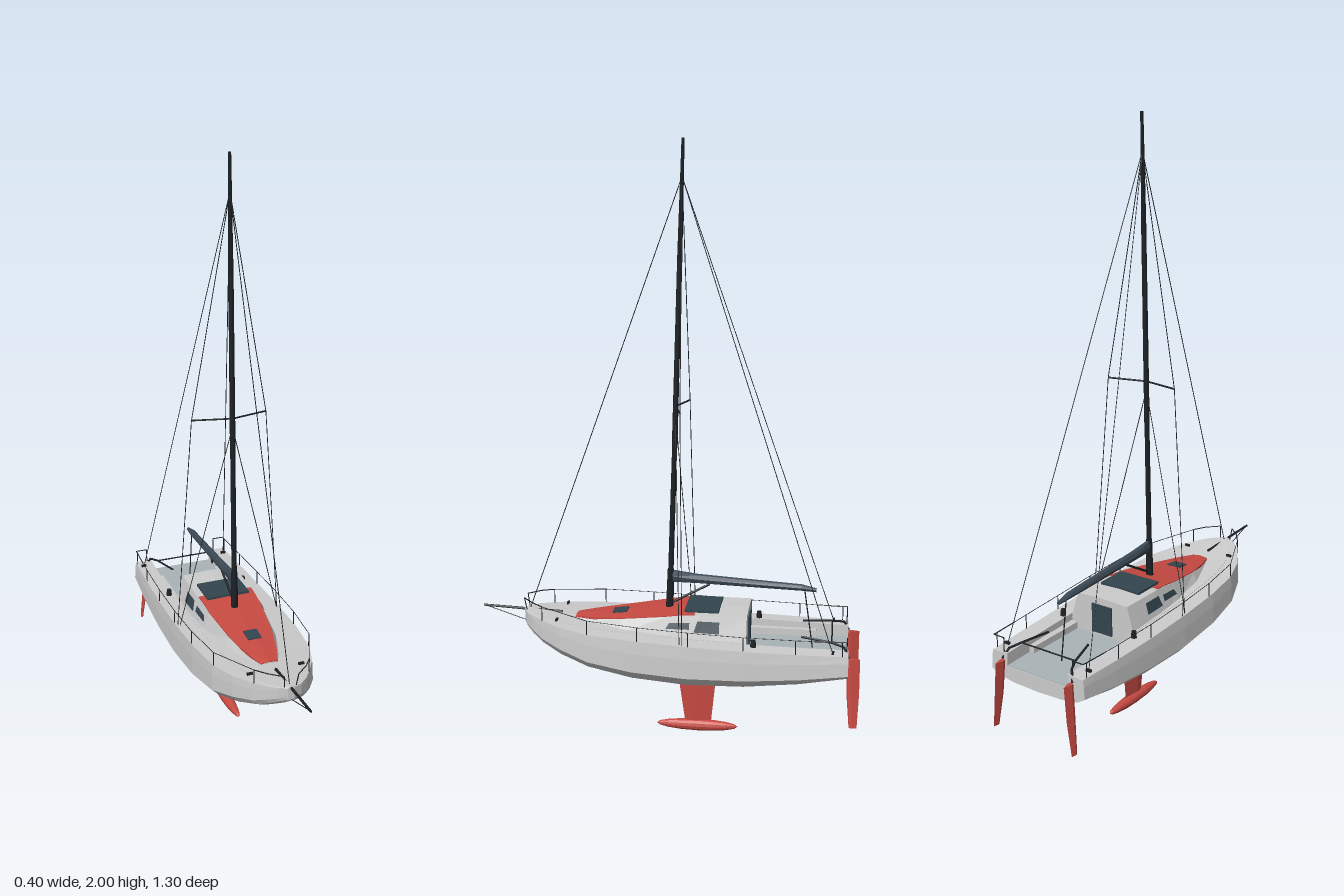
import * as THREE from 'three';
import { mergeGeometries } from 'three/addons/utils/BufferGeometryUtils.js';

const GREY = 0xcccccc, RED = 0xc64a42, SLATE = 0x3c4a56, BLACK = 0x1c2024, GLASS = 0x33454f, FLOOR = 0xa9b3b6;
const V = (x, y, z) => new THREE.Vector3(x, y, z);

// Piecewise linear lookup in [[z, value], ...] with z falling from bow to stern
function at(table, z) {
  for (let i = 1; i < table.length; i++) {
    const [z0, v0] = table[i - 1], [z1, v1] = table[i];
    if (z >= z1) return THREE.MathUtils.lerp(v0, v1, THREE.MathUtils.clamp((z - z0) / (z1 - z0), 0, 1));
  }
  return table[table.length - 1][1];
}

// Skin over closed rings of equal length, capped at both ends
function loft(rings, flat = p => [p.x, p.y]) {
  const n = rings[0].length, index = [];
  for (let i = 0; i < rings.length - 1; i++) for (let j = 0; j < n; j++) {
    const a = i * n + j, b = i * n + (j + 1) % n, c = b + n, d = a + n;
    index.push(a, d, c, a, c, b);
  }
  const cap = (k, flip) => {
    const contour = rings[k].map(p => new THREE.Vector2(...flat(p)));
    for (const [a, b, c] of THREE.ShapeUtils.triangulateShape(contour, []))
      index.push(k * n + a, k * n + (flip ? c : b), k * n + (flip ? b : c));
  };
  cap(0, false);
  cap(rings.length - 1, true);
  const g = new THREE.BufferGeometry().setFromPoints(rings.flat());
  g.setIndex(index);
  const out = g.toNonIndexed();
  out.computeVertexNormals();
  return out;
}

// Full section from its right half, listed from bottom centre to top centre
const mirrorRing = (half, z) => [
  ...half.map(([x, y]) => V(x, y, z)),
  ...half.slice(1, -1).reverse().map(([x, y]) => V(-x, y, z)),
];

// Blade lofted downward: each level is [x, y, zFront, zBack, halfThickness]
const blade = levels => loft(levels.map(([x, y, f, b, t]) => {
  const at2 = (k, s) => V(x + s * t, y, THREE.MathUtils.lerp(f, b, k));
  return [at2(0, 0), at2(0.12, 0.7), at2(0.35, 1), at2(1, 0), at2(0.35, -1), at2(0.12, -0.7)];
}), p => [p.z, p.x]);

// Straight round bars through a list of points
function rodGeometry(points, r0, r1 = r0, sides = 6) {
  const parts = [];
  for (let i = 1; i < points.length; i++) {
    const a = points[i - 1], d = points[i].clone().sub(a), len = d.length();
    const g = new THREE.CylinderGeometry(r1, r0, len, sides);
    g.translate(0, len / 2, 0);
    g.applyQuaternion(new THREE.Quaternion().setFromUnitVectors(V(0, 1, 0), d.normalize()));
    parts.push(g.translate(a.x, a.y, a.z));
  }
  return mergeGeometries(parts);
}

const beam = [[0.5, 0.012], [0.485, 0.042], [0.46, 0.07], [0.42, 0.1], [0.35, 0.143], [0.25, 0.178], [0.1, 0.196],
  [-0.08, 0.202], [-0.27, 0.2], [-0.45, 0.194], [-0.61, 0.185]];
const sheer = [[0.5, 0.418], [0.3, 0.396], [0, 0.381], [-0.3, 0.369], [-0.61, 0.364]];
const chine = [[0.5, 0.385], [0.42, 0.345], [0.25, 0.3], [0.1, 0.28], [-0.1, 0.268], [-0.35, 0.272], [-0.61, 0.3]];
const keelLine = [[0.5, 0.37], [0.46, 0.34], [0.42, 0.315], [0.35, 0.286], [0.25, 0.256], [0.1, 0.228], [-0.08, 0.214],
  [-0.27, 0.219], [-0.45, 0.24], [-0.61, 0.27]];
const roof = [[0.32, 0.407], [0.15, 0.425], [0, 0.446], [-0.05, 0.454], [-0.12, 0.459], [-0.275, 0.459]];
const cabinBase = [[0.32, 0.042], [0.25, 0.074], [0.15, 0.1], [0, 0.121], [-0.12, 0.126], [-0.275, 0.128]];
const cabinTop = [[0.32, 0.03], [0.25, 0.054], [0.15, 0.078], [0, 0.097], [-0.12, 0.102], [-0.275, 0.1]];

export function createModel() {
  const model = new THREE.Group();
  const add = (name, geometry, color = GREY, flat = true, side = THREE.FrontSide) => {
    const m = new THREE.Mesh(geometry, new THREE.MeshStandardMaterial({ color, flatShading: flat, side }));
    m.name = name;
    model.add(m);
    return m;
  };
  const rod = (name, pts, r, color = BLACK, r1 = r) => add(name, rodGeometry(pts, r, r1), color, false);
  const box = (name, w, h, d, x, y, z, color) => add(name, new THREE.BoxGeometry(w, h, d).translate(x, y, z), color);

  // Hull, deck and sunken cockpit, open through the transom
  const section = (z, sunk) => {
    const b = at(beam, z), s = at(sheer, z), c = at(chine, z), k = at(keelLine, z), inner = Math.min(0.135, b * 0.65);
    return mirrorRing([[0, k], [b * 0.5, k + (c - k) * 0.1], [b * 0.84, k + (c - k) * 0.4], [b, c],
      [b * 0.99, (s + c) / 2 + 0.01], [b * 0.97, s], [inner, s + 0.002], [inner, sunk ? 0.322 : s + 0.003],
      [0, sunk ? 0.322 : s + 0.005]], z);
  };
  add('hull', loft([...beam.slice(0, 9).map(([z]) => section(z, false)),
    ...[-0.2701, -0.45, -0.61].map(z => section(z, true))]));
  box('cockpitFloor', 0.266, 0.004, 0.335, 0, 0.323, -0.44, FLOOR);

  // Cabin with red forward roof
  add('cabin', loft(roof.map(([z, y]) => mirrorRing([[0, at(sheer, z) - 0.01], [at(cabinBase, z), at(sheer, z) - 0.01],
    [at(cabinTop, z), y - 0.004], [0, y]], z))));
  const padZ = [0.318, 0.25, 0.15, 0, -0.05, -0.1];
  add('cabinRoofPanel', loft(padZ.map(z => {
    const w = at(cabinTop, z) * 0.985, y = at(roof, z);
    return mirrorRing([[0, y - 0.004], [w, y - 0.008], [w, y - 0.001], [0, y + 0.003]], z);
  })), RED);
  box('mainHatch', 0.156, 0.008, 0.115, 0, 0.46, -0.122, GLASS);
  const foreHatch = box('foreHatch', 0.048, 0.008, 0.05, 0, 0, 0, GLASS);
  foreHatch.position.set(0, at(roof, 0.165) + 0.002, 0.165);
  foreHatch.rotation.x = 0.13;
  box('companionwayDoor', 0.08, 0.1, 0.006, 0, 0.385, -0.277, GLASS);

  // Fin keel, bulb and propeller strut
  add('keelFin', blade([[0, 0.225, -0.03, -0.167, 0.009], [0, 0.035, -0.058, -0.148, 0.007]]), RED);
  add('keelBulb', new THREE.SphereGeometry(1, 12, 8).rotateX(Math.PI / 2).scale(0.02, 0.02, 0.14)
    .translate(0, 0.022, -0.1), RED);
  rod('propellerShaft', [V(0, 0.235, -0.365), V(0, 0.207, -0.42)], 0.004);
  box('propeller', 0.045, 0.008, 0.004, 0, 0.207, -0.42, BLACK);

  // Spars
  add('mast', rodGeometry([V(0, 0.445, -0.004), V(0, 1, -0.02), V(0, 1.62, -0.036)], 0.0095, 0.0085, 10), BLACK, false);
  rod('mastTop', [V(0, 1.62, -0.036), V(0, 2, -0.046)], 0.0085, BLACK, 0.005);
  add('mastFoot', rodGeometry([V(0, 0.445, -0.004), V(0, 0.58, -0.008)], 0.013, 0.011, 10), BLACK, false);
  add('boom', loft([[-0.015, 0.535, 0.578, 0.01], [-0.1, 0.534, 0.567, 0.014], [-0.45, 0.523, 0.546, 0.012],
    [-0.5, 0.52, 0.534, 0.006]].map(([z, y0, y1, w]) =>
    mirrorRing([[0, y0], [w * 0.7, y0 + 0.004], [w, (y0 + y1) / 2], [w * 0.6, y1 - 0.003], [0, y1]], z))), SLATE);
  rod('boomVang', [V(0, 0.462, -0.012), V(0, 0.532, -0.14)], 0.004);
  rod('mainsheet', [V(0, 0.53, -0.46), V(0, 0.325, -0.49)], 0.002);
  rod('bowsprit', [V(0, 0.41, 0.37), V(0, 0.422, 0.65)], 0.0055, BLACK, 0.004);
  rod('bobstay', [V(0, 0.42, 0.64), V(0, 0.375, 0.5)], 0.0015);
  rod('forestay', [V(0, 1.88, -0.043), V(0, 0.415, 0.485)], 0.0014);
  rod('sternCrossbar', [V(-0.105, 0.385, -0.555), V(0.105, 0.385, -0.555)], 0.0025);

  for (const s of [1, -1]) {
    const tag = s > 0 ? 'left' : 'right';
    const P = (x, y, z) => V(s * x, y, z);

    // Cabin windows lying on the sloped sides
    const onSide = (z, t) => {
      const lo = at(sheer, z), hi = at(roof, z);
      return P(THREE.MathUtils.lerp(at(cabinBase, z), at(cabinTop, z), t) + 0.003, THREE.MathUtils.lerp(lo, hi, t), z);
    };
    [[-0.005, -0.085, 0.4, 0.68], [-0.1, -0.185, 0.3, 0.74]].forEach(([f, b, lo, hi]) => {
      const g = new THREE.BufferGeometry().setFromPoints(
        [onSide(f, lo), onSide(b, lo), onSide(b, hi), onSide(f - 0.012, hi)]);
      g.setIndex([0, 1, 2, 0, 2, 3]);
      g.computeVertexNormals();
      add(tag + 'CabinWindow', g, GLASS, true, THREE.DoubleSide);
    });

    // Cockpit seat, winch and deck cleats
    box(tag + 'CockpitSeat', 0.03, 0.026, 0.225, s * 0.12, 0.335, -0.3875, GREY);
    add(tag + 'Winch', new THREE.CylinderGeometry(0.008, 0.01, 0.024, 10).translate(s * 0.145, 0.382, -0.3), BLACK, false);
    box(tag + 'BowCleat', 0.02, 0.008, 0.006, s * 0.09, 0.413, 0.37, BLACK);
    box(tag + 'SternCleat', 0.018, 0.008, 0.008, s * 0.163, 0.371, -0.56, BLACK);

    // Splayed rudder with tiller
    add(tag + 'Rudder', blade([[s * 0.136, 0.342, -0.603, -0.648, 0.008], [s * 0.145, 0.225, -0.607, -0.648, 0.007],
      [s * 0.158, 0.113, -0.617, -0.643, 0.004]]), RED);
    rod(tag + 'Tiller', [P(0.14, 0.345, -0.612), P(0.125, 0.378, -0.595), P(0.108, 0.385, -0.555), P(0.08, 0.39, -0.455)], 0.0038);

    // Spreader and standing rigging
    const tip = P(0.132, 1.14, -0.055);
    rod(tag + 'Spreader', [V(0, 1.14, -0.024), tip], 0.003);
    rod(tag + 'UpperShroud', [V(0, 1.88, -0.043), tip, P(0.188, 0.378, -0.07)], 0.0014);
    rod(tag + 'LowerShroud', [V(0, 1.11, -0.023), P(0.183, 0.38, -0.06)], 0.0014);
    rod(tag + 'Backstay', [V(0, 1.88, -0.043), P(0.163, 0.365, -0.56)], 0.0014);

    // Lifelines, stanchions, bow pulpit and stern rail
    const rail = (z, h) => P(at(beam, z) * 0.96, at(sheer, z) + h, z);
    const posts = [0.42, 0.25, 0.08, -0.09, -0.27, -0.44, -0.59];
    posts.forEach(z => rod(tag + 'Stanchion', [rail(z, -0.002), rail(z, 0.048)], 0.0016));
    rod(tag + 'Lifeline', posts.map(z => rail(z, 0.048)), 0.0011);
    rod(tag + 'BowPulpit', [rail(0.42, 0.048), rail(0.46, 0.047), P(0.025, 0.462, 0.498), P(0.02, 0.415, 0.49)], 0.0018);
    rod(tag + 'SternRail', [rail(-0.5, 0.048), rail(-0.605, 0.05), P(0.137, 0.414, -0.605), P(0.137, 0.362, -0.605)], 0.0018);
  }
  return model;
}
